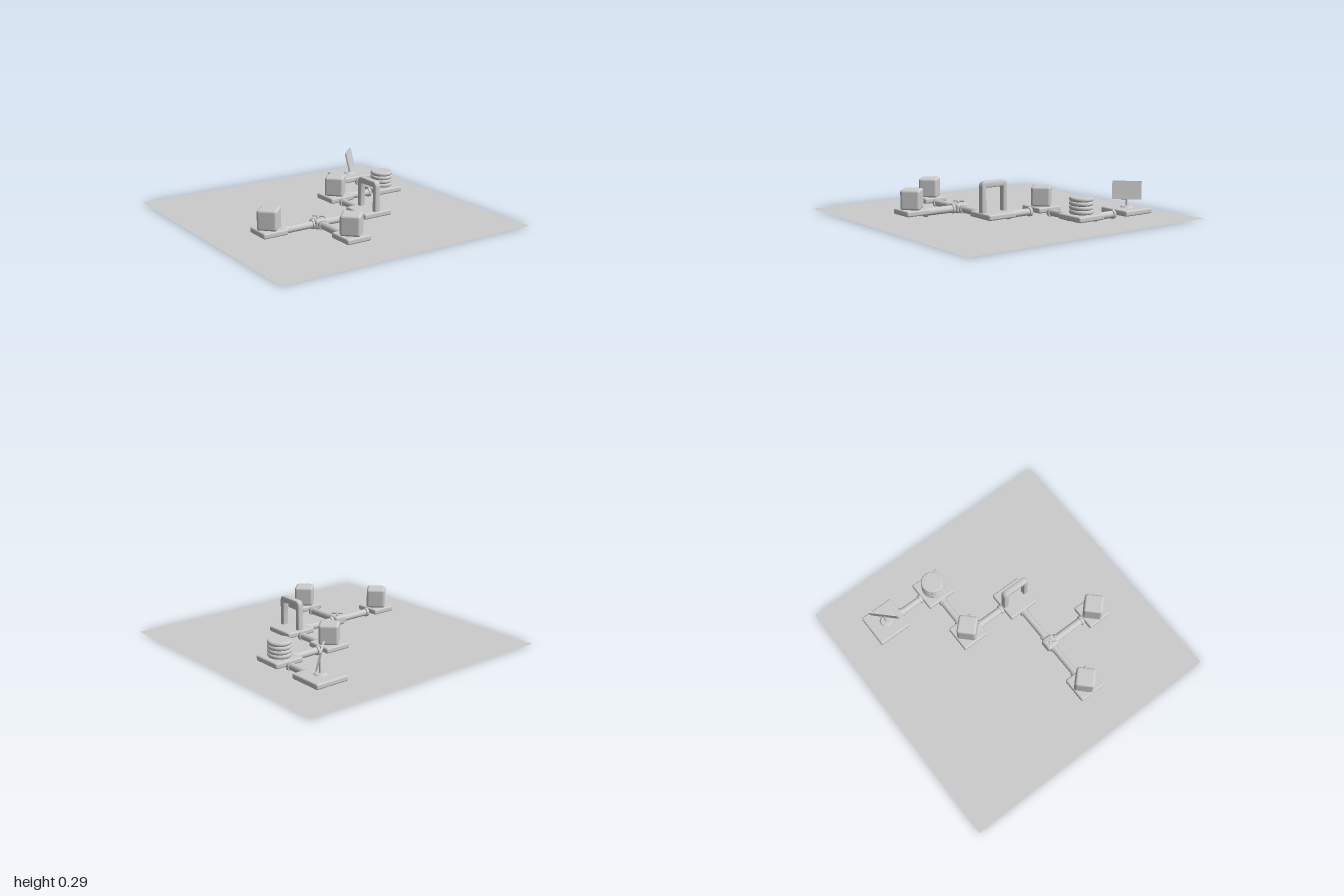
import * as THREE from 'three';
import { toCreasedNormals } from 'three/addons/utils/BufferGeometryUtils.js';
import { RoundedBoxGeometry } from 'three/addons/geometries/RoundedBoxGeometry.js';

const PLATE_TOP = 0.07;
const PIPE_Y = 0.033;

export function createModel() {
  const model = new THREE.Group();
  const grey = new THREE.MeshStandardMaterial({ color: 0xcccccc });
  const groundGrey = new THREE.MeshStandardMaterial({ color: 0xcccccc, side: THREE.DoubleSide });
  grey.name = 'light grey';
  groundGrey.name = 'ground grey';

  const add = (parent, name, geometry, x = 0, y = 0, z = 0) => {
    const mesh = new THREE.Mesh(geometry, grey);
    mesh.name = name;
    mesh.position.set(x, y, z);
    parent.add(mesh);
    return mesh;
  };

  // Station: a rounded square base plate; returns a group for its equipment
  const station = (name, x, z, size) => {
    const group = new THREE.Group();
    group.name = name;
    group.position.set(x, 0, z);
    add(group, 'basePlate', new RoundedBoxGeometry(size, 0.04, size, 3, 0.012), 0, 0.05, 0);
    model.add(group);
    return group;
  };

  // Pipe along x or z with a collar at each end
  const pipe = (axis, from, to, cross, radius = 0.025) => {
    const group = new THREE.Group();
    group.name = 'pipe';
    const length = to - from;
    add(group, 'tube', new THREE.CylinderGeometry(radius, radius, length, 24));
    for (const side of [-1, 1]) {
      const collar = radius + 0.008;
      add(group, 'collar', new THREE.CylinderGeometry(collar, collar, 0.02, 24), 0, side * (length / 2 - 0.01), 0);
    }
    const mid = (from + to) / 2;
    if (axis === 'x') {
      group.rotation.z = Math.PI / 2;
      group.position.set(mid, PIPE_Y, cross);
    } else {
      group.rotation.x = Math.PI / 2;
      group.position.set(cross, PIPE_Y, mid);
    }
    model.add(group);
  };

  // Ground sheet
  const ground = new THREE.Mesh(new THREE.PlaneGeometry(2, 2), groundGrey);
  ground.name = 'ground';
  ground.rotation.x = -Math.PI / 2;
  ground.position.y = 0.002;
  model.add(ground);

  // Three stations carrying a block turned 45 degrees
  for (const [x, z, size] of [[-0.62, 0.22, 0.19], [-0.23, 0.615, 0.19], [0.195, -0.2, 0.2]]) {
    const g = station('blockStation', x, z, size);
    add(g, 'block', new RoundedBoxGeometry(0.138, 0.145, 0.138, 4, 0.018), 0, 0.1375, 0).rotation.y = Math.PI / 4;
  }

  // Arch station
  const archStation = station('archStation', 0.193, 0.225, 0.232);
  const bevel = 0.01;
  const archShape = new THREE.Shape();
  const w = 0.108 - bevel, top = 0.285 - PLATE_TOP - bevel, r = 0.028;
  const iw = 0.07 + bevel, it = 0.24 - PLATE_TOP + bevel, ir = 0.018;
  archShape.moveTo(-w, 0);
  archShape.lineTo(-iw, 0);
  archShape.lineTo(-iw, it - ir);
  archShape.quadraticCurveTo(-iw, it, -iw + ir, it);
  archShape.lineTo(iw - ir, it);
  archShape.quadraticCurveTo(iw, it, iw, it - ir);
  archShape.lineTo(iw, 0);
  archShape.lineTo(w, 0);
  archShape.lineTo(w, top - r);
  archShape.quadraticCurveTo(w, top, w - r, top);
  archShape.lineTo(-w + r, top);
  archShape.quadraticCurveTo(-w, top, -w, top - r);
  archShape.closePath();
  const archGeometry = new THREE.ExtrudeGeometry(archShape, {
    depth: 0.025, bevelSize: bevel, bevelThickness: bevel, bevelSegments: 3, curveSegments: 8,
  });
  archGeometry.translate(0, 0, -0.0125);
  add(archStation, 'arch', toCreasedNormals(archGeometry, 0.7), 0, PLATE_TOP, 0).rotation.y = Math.PI / 2;

  // Stack of four rounded discs
  const stack = station('discStation', 0.62, -0.2, 0.225);
  const discHeight = 0.029, rim = 0.012, radius = 0.083;
  const profile = [new THREE.Vector2(0, 0)];
  for (let i = 0; i <= 8; i++) {
    const a = -Math.PI / 2 + (Math.PI * i) / 8;
    profile.push(new THREE.Vector2(radius - rim + rim * Math.cos(a), discHeight / 2 * (1 + Math.sin(a))));
  }
  profile.push(new THREE.Vector2(0, discHeight));
  for (let i = 0; i < 4; i++) {
    add(stack, 'disc', new THREE.LatheGeometry(profile, 40), 0, PLATE_TOP + i * discHeight, 0);
  }

  // Screen leaning back on a small stand
  const display = station('screenStation', 0.62, -0.625, 0.255);
  add(display, 'standFoot', new THREE.CylinderGeometry(0.035, 0.045, 0.01, 32), 0, PLATE_TOP + 0.005, 0);
  add(display, 'standPole', new THREE.CylinderGeometry(0.007, 0.007, 0.11, 16), 0, 0.13, 0);
  const screen = add(display, 'screen', new THREE.BoxGeometry(0.205, 0.13, 0.012), 0, 0.19, 0);
  screen.rotation.set(-0.23, Math.PI / 4, 0, 'YXZ');

  // Pipe junction with a crossed valve handle
  const junction = new THREE.Group();
  junction.name = 'junction';
  junction.position.set(-0.23, 0, 0.222);
  add(junction, 'junctionBody', new RoundedBoxGeometry(0.095, 0.07, 0.095, 4, 0.02), 0, 0.036, 0);
  add(junction, 'valveStem', new THREE.CylinderGeometry(0.009, 0.009, 0.025, 16), 0, 0.077, 0);
  for (const side of [-1, 1]) {
    add(junction, 'valveBar', new RoundedBoxGeometry(0.085, 0.012, 0.013, 2, 0.004), 0, 0.085, 0).rotation.y = side * Math.PI / 4;
  }
  model.add(junction);

  // Connecting pipes
  pipe('x', -0.525, -0.27, 0.222);
  pipe('x', -0.18, 0.08, 0.222);
  pipe('z', 0.265, 0.52, -0.23, 0.027);
  pipe('z', -0.1, 0.11, 0.195);
  pipe('x', 0.293, 0.508, -0.2);
  pipe('z', -0.5, -0.31, 0.62);

  return model;
}
